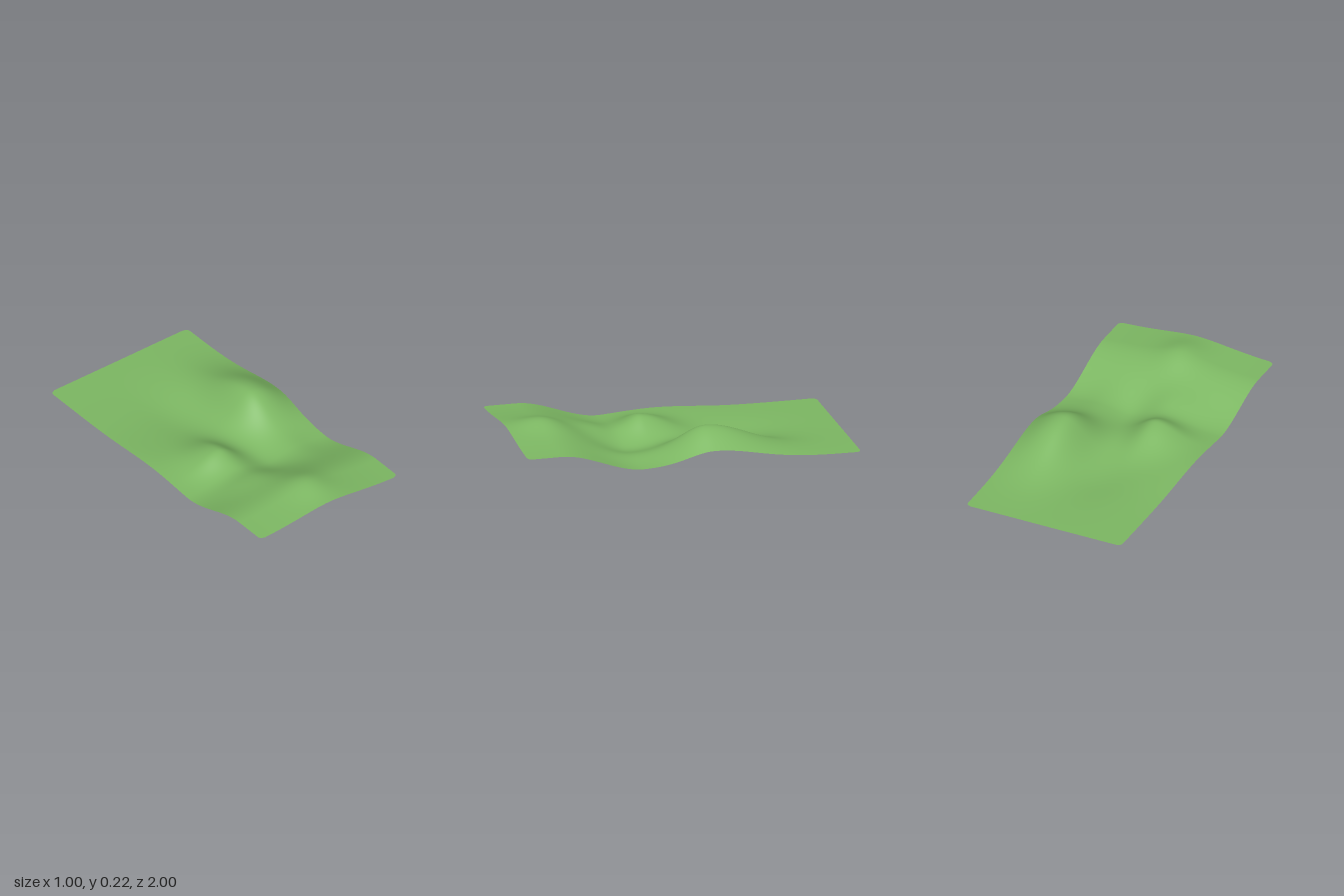
import * as THREE from 'three';

const { smoothstep } = THREE.MathUtils;

// Bell-shaped mounds and hollows: centre, height, spread to left/right (-x, +x) and back/front (-z, +z)
const mounds = [
  { x: 0.3, z: -0.13, h: 0.168, sx: [0.12, 0.16], sz: [0.26, 0.16] },  // large hill
  { x: -0.16, z: 0.14, h: 0.095, sx: [0.13, 0.09], sz: [0.15, 0.085] }, // small hill
  { x: -0.13, z: 0.4, h: 0.043, sx: [0.14, 0.1], sz: [0.15, 0.12] },   // shelf before the small hill
  { x: 0, z: 0.8, h: 0.032, sx: [0.09, 0.09], sz: [0.12, 0.1] },       // crest of the front ridge
  { x: 0.28, z: 0.32, h: 0.014, sx: [0.08, 0.08], sz: [0.12, 0.12] },  // foot of the large hill
  { x: 0.09, z: 0.27, h: -0.017, sx: [0.07, 0.08], sz: [0.12, 0.12] }, // gully
  { x: -0.06, z: -0.35, h: -0.02, sx: [0.12, 0.12], sz: [0.2, 0.2] },  // back hollow
  { x: -0.5, z: -0.05, h: 0.022, sx: [0.15, 0.15], sz: [0.25, 0.2] },  // raised left rim
];

const bell = (d, [a, b]) => Math.exp(-0.5 * (d / (d < 0 ? a : b)) ** 2);

function height(x, z) {
  // Flat back, long rise to the front, bowed up along the middle
  let y = 0.02 + 0.007 * smoothstep(z, -0.5, 0);
  y += 0.118 * smoothstep(z, 0.3, 0.8);
  y += 0.043 * bell(x, [0.23, 0.23]) * smoothstep(z, 0.25, 0.75);
  for (const m of mounds) y += m.h * bell(x - m.x, m.sx) * bell(z - m.z, m.sz);
  return y;
}

// Half width of the sheet, drawn in at the rounded corners
function halfWidth(z) {
  const r = 0.03;
  const d = Math.max(0, Math.abs(z) - (1 - r));
  return 0.5 - r + Math.sqrt(Math.max(0, r * r - d * d));
}

export function createModel() {
  const group = new THREE.Group();
  group.name = 'terrain';
  const grass = new THREE.MeshStandardMaterial({ color: 0x7db863, side: THREE.DoubleSide });
  grass.name = 'grass green';

  // Rolling ground sheet
  const geometry = new THREE.PlaneGeometry(1, 2, 70, 200).rotateX(-Math.PI / 2);
  const p = geometry.attributes.position;
  for (let i = 0; i < p.count; i++) {
    const z = p.getZ(i);
    const x = p.getX(i) * 2 * halfWidth(z);
    p.setXYZ(i, x, height(x, z), z);
  }
  geometry.computeBoundingBox();
  geometry.translate(0, -geometry.boundingBox.min.y, 0);
  geometry.computeVertexNormals();

  const ground = new THREE.Mesh(geometry, grass);
  ground.name = 'ground';
  group.add(ground);
  return group;
}
